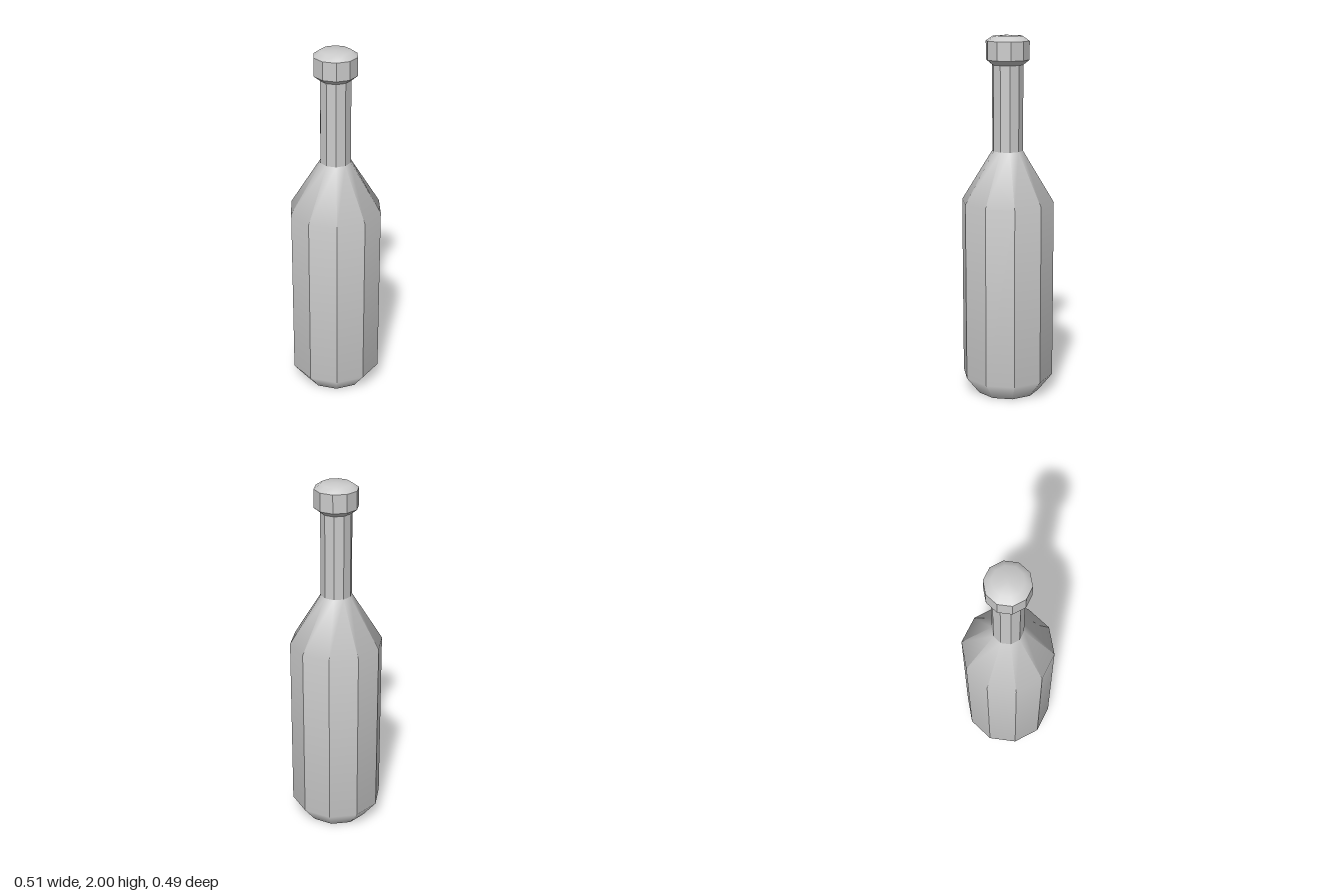
import * as THREE from 'three';

const SIDES = 10;
const STEP = (Math.PI * 2) / SIDES;

// Ten-sided surface of revolution. Each ring is [radius, y, normal tilt in degrees, rounded];
// rounded rings blend neighbouring sides, the others keep a crease between them.
function facetedStrip(name, rings, material) {
  const positions = [], normals = [];
  const corner = ([r, y, tilt, rounded], i, side) => {
    const a = i * STEP;
    const n = rounded ? a : (side + 0.5) * STEP;
    const t = THREE.MathUtils.degToRad(tilt);
    positions.push(r * Math.cos(a), y, r * Math.sin(a));
    normals.push(Math.cos(n) * Math.cos(t), Math.sin(t), Math.sin(n) * Math.cos(t));
  };
  for (let k = 0; k < rings.length - 1; k++) {
    const low = rings[k], high = rings[k + 1];
    for (let s = 0; s < SIDES; s++) {
      if (low[0] > 0) {
        corner(low, s, s); corner(high, s, s); corner(low, s + 1, s);
      }
      if (high[0] > 0) {
        corner(low, s + 1, s); corner(high, s, s); corner(high, s + 1, s);
      }
    }
  }
  const geometry = new THREE.BufferGeometry();
  geometry.setAttribute('position', new THREE.Float32BufferAttribute(positions, 3));
  geometry.setAttribute('normal', new THREE.Float32BufferAttribute(normals, 3));
  const mesh = new THREE.Mesh(geometry, material);
  mesh.name = name;
  return mesh;
}

export function createModel() {
  const glass = new THREE.MeshStandardMaterial({ color: 0xcccccc });
  const bottle = new THREE.Group();
  bottle.name = 'bottle';

  const parts = {
    // flat underside
    base: [[0, 0, -90, 1], [0.178, 0, -90, 1]],
    // tapered foot, straight sides and sloping shoulder
    body: [[0.178, 0, -37, 1], [0.256, 0.1, -7, 0], [0.256, 1.1, 7, 0], [0.085, 1.38, 27, 1]],
    neck: [[0.085, 1.38, 0, 0], [0.085, 1.845, 0, 0]],
    // flared underside of the cap, its rim and its domed top
    capUnderside: [[0.085, 1.845, -45, 1], [0.119, 1.872, -45, 1]],
    capRim: [[0.119, 1.872, 0, 0], [0.119, 1.972, 0, 0]],
    capTop: [[0.119, 1.972, 50, 1], [0.081, 1.998, 72, 1], [0, 2, 90, 1]],
  };
  for (const [name, rings] of Object.entries(parts)) {
    bottle.add(facetedStrip(name, rings, glass));
  }
  return bottle;
}
